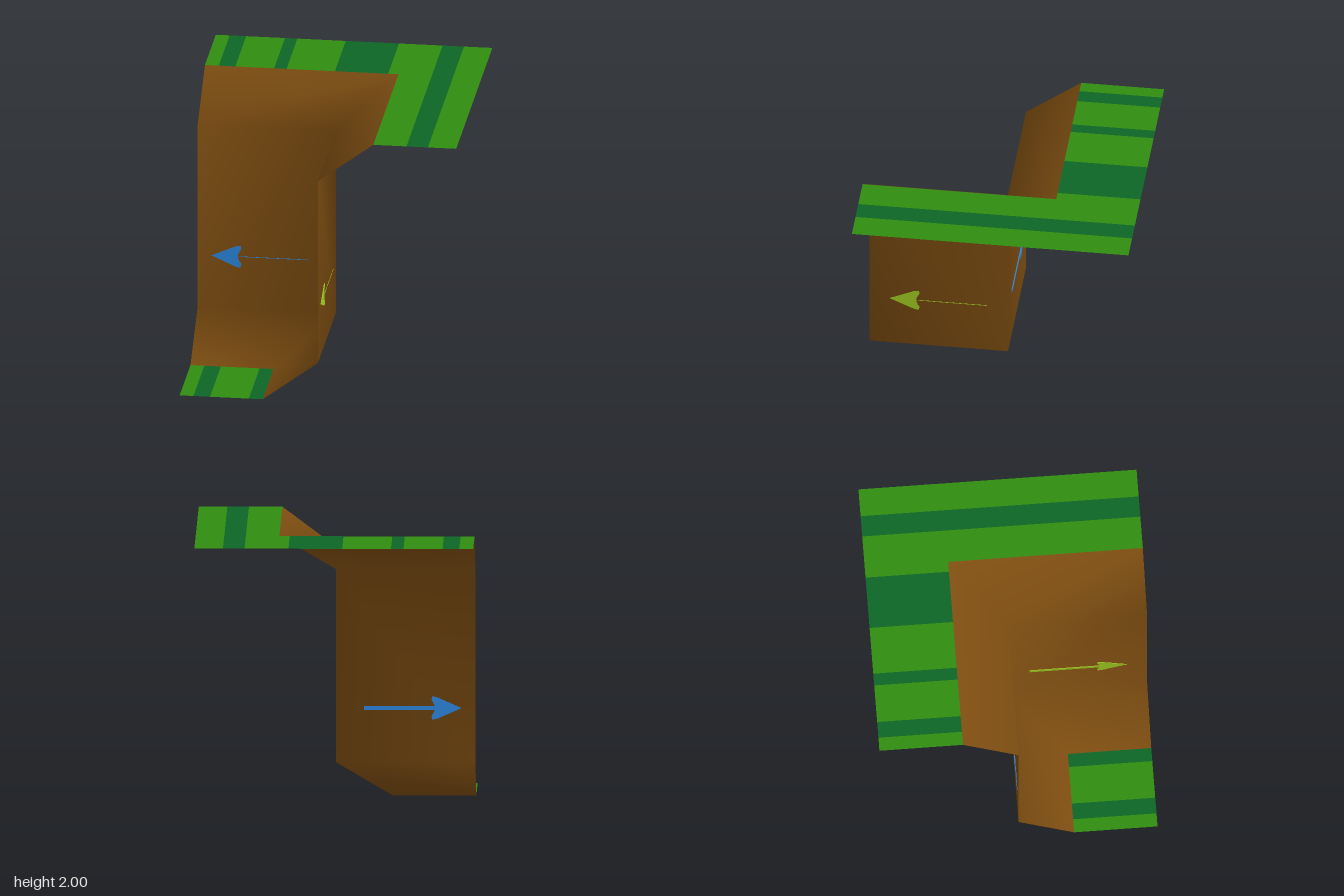
import * as THREE from 'three';

const material = (name, color, side = THREE.DoubleSide) => {
  const m = new THREE.MeshStandardMaterial({ color, side });
  m.name = name;
  return m;
};

// Corner cliff: the profile runs along one wall, turns at the corner, runs along the other
function cliffGeometry() {
  const profile = [[0.4, 2], [0, 1.7], [0, 0.3], [-0.4, 0]]; // [outward offset, height]
  const positions = [], index = [];
  for (const [o, y] of profile) positions.push(-1, y, -o, o, y, -o, o, y, 1);
  for (let r = 0; r < profile.length - 1; r++) {
    for (let j = 0; j < 2; j++) {
      const a = r * 3 + j, b = a + 1, c = a + 3, d = a + 4;
      index.push(a, c, b, b, c, d);
    }
  }
  const g = new THREE.BufferGeometry();
  g.setAttribute('position', new THREE.Float32BufferAttribute(positions, 3));
  g.setIndex(index);
  g.computeVertexNormals();
  return g;
}

// Flat arrow pointing along -x, with its shaft on the -z side
function arrow(name, mat) {
  const group = new THREE.Group();
  group.name = name;
  const outline = [
    [-0.9, 0], [-0.72, 0.08], [-0.69, 0.083], [-0.685, 0.06], [-0.707, 0.02],
    [-0.707, -0.02], [-0.685, -0.06], [-0.69, -0.083], [-0.72, -0.08],
  ].map(([x, y]) => new THREE.Vector2(x, y));
  const head = new THREE.Mesh(
    new THREE.ExtrudeGeometry(new THREE.Shape(outline), { depth: 0.006, bevelEnabled: false }).translate(0, 0, -0.003), mat);
  head.name = name + 'Head';
  const shaft = new THREE.Mesh(new THREE.BoxGeometry(0.52, 0.03, 0.004).translate(-0.46, 0, -0.003), mat);
  shaft.name = name + 'Shaft';
  const ridge = new THREE.Mesh(new THREE.BoxGeometry(0.5, 0.004, 0.004).translate(-0.45, 0, 0), mat);
  ridge.name = name + 'ShaftRidge';
  group.add(head, shaft, ridge);
  group.position.y = 0.695;
  return group;
}

export function createModel() {
  const model = new THREE.Group();
  model.name = 'cliffCornerTile';
  const rock = material('brown rock', 0x7c4c10);
  const grass = material('grass green', 0x2f8c10);
  const darkGrass = material('dark grass green', 0x0d6626);
  const blue = material('marker blue', 0x3090f0, THREE.FrontSide);
  const lime = material('marker lime', 0x9ecb20, THREE.FrontSide);

  const cliff = new THREE.Mesh(cliffGeometry(), rock);
  cliff.name = 'cliff';
  model.add(cliff);

  // Grass strips: [x from, x to, dark]
  const addStrip = (name, x0, x1, z0, z1, y, dark) => {
    const g = new THREE.PlaneGeometry(x1 - x0, z1 - z0).rotateX(-Math.PI / 2);
    const mesh = new THREE.Mesh(g.translate((x0 + x1) / 2, y, (z0 + z1) / 2), dark ? darkGrass : grass);
    mesh.name = name;
    model.add(mesh);
  };
  const strips = [
    [-1, -0.9, 0], [-0.9, -0.78, 1], [-0.78, -0.5, 0], [-0.5, -0.41, 1], [-0.41, -0.06, 0],
    [-0.06, 0.325, 1], [0.325, 0.4, 0], [0.4, 0.64, 0], [0.64, 0.795, 1], [0.795, 1, 0],
  ];
  for (const [x0, x1, dark] of strips) {
    // Upper ledge wraps around the corner
    addStrip('upperGrass', x0, x1, -1, x0 >= 0.4 ? 1 : -0.4, 2, dark);
    // Lower ground fills the inner quadrant
    if (x0 < -0.41) addStrip('lowerGrass', x0, x1 === -0.41 ? -0.4 : x1, 0.4, 1, 0, dark);
  }

  // Direction markers, one on each wall
  const second = arrow('limeArrow', lime);
  second.rotation.y = Math.PI / 2;
  second.position.z = -0.045;
  model.add(arrow('blueArrow', blue), second);
  return model;
}
